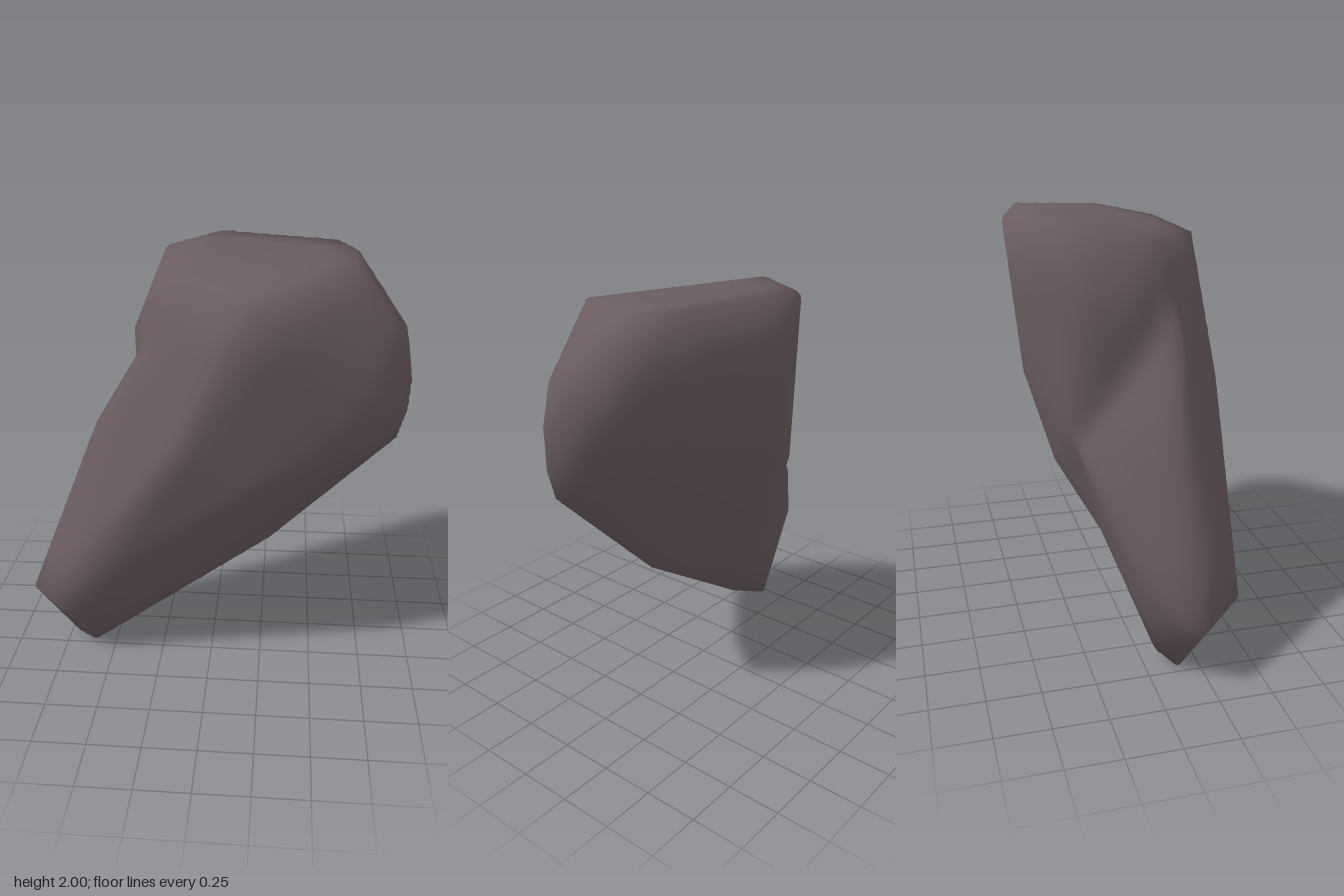
import * as THREE from 'three';
import { ConvexGeometry } from 'three/addons/geometries/ConvexGeometry.js';
import { mergeVertices } from 'three/addons/utils/BufferGeometryUtils.js';

const toVector = ([x, y, z]) => new THREE.Vector3(x, y, z);
const CORE = new THREE.Vector3(0.04, 1, 0.08); // inside both lobes

// Face planes of the convex lobe spanned by some corner points, relative to CORE
function lobePlanes(corners) {
  const p = new ConvexGeometry(corners.map((c) => toVector(c).sub(CORE))).attributes.position;
  const planes = [];
  for (let i = 0; i < p.count; i += 3) {
    const [a, b, c] = [0, 1, 2].map((k) => new THREE.Vector3().fromBufferAttribute(p, i + k));
    planes.push(new THREE.Plane().setFromCoplanarPoints(a, b, c));
  }
  return planes;
}

// Distance from CORE to the lobe surface in a direction
function reach(planes, direction) {
  let nearest = Infinity;
  for (const { normal, constant } of planes) {
    const slope = normal.dot(direction);
    if (slope > 1e-6) nearest = Math.min(nearest, -constant / slope);
  }
  return nearest;
}

// Softens the shading by averaging each normal with those of its neighbours
function softenNormals(geometry, passes) {
  const index = geometry.index.array;
  const normals = geometry.attributes.normal;
  for (let pass = 0; pass < passes; pass++) {
    const old = normals.array.slice();
    const sum = normals.array;
    for (let i = 0; i < index.length; i += 3) {
      for (let k = 0; k < 3; k++) {
        for (let axis = 0; axis < 3; axis++) {
          sum[index[i + k] * 3 + axis] += old[index[i + (k + 1) % 3] * 3 + axis];
        }
      }
    }
    geometry.normalizeNormals();
  }
}

export function createModel() {
  const stone = new THREE.MeshStandardMaterial({ color: 0x6a5b5f });
  stone.name = 'brown grey stone';

  // Front face, right end and underside, common to both lobes
  const shared = [
    [0.2, 1.87, 0.467], [-0.13, 1.22, 0.5], [0.21, 1, 0.42], [0.76, 1.42, 0.29], [0.76, 1.2, 0.25],
    [0.85, 1.68, 0.13], [0.92, 1.45, 0.09], [0.91, 1.3, 0.11], [0.87, 1.16, 0.11],
    [0.28, 0.59, 0.11], [0, 0.43, 0.14], [0, 0.44, -0.02], [-0.23, 0.5, -0.1],
  ];

  // Wide lobe with the sloping top and the back
  const upperLobe = lobePlanes([
    ...shared,
    // top rim
    [-0.24, 1.99, -0.17], [-0.14, 1.95, -0.44], [0, 2, -0.5], [0.57, 1.99, -0.36],
    [0.66, 1.97, -0.23], [0.62, 1.97, 0.08], [0.42, 1.93, 0.33], [-0.24, 1.9, 0.16],
    // right end
    [0.89, 1.67, -0.01], [0.81, 1.5, -0.13],
    // back and left
    [-0.08, 1.3, -0.435], [-0.15, 0.87, -0.31],
    [-0.37, 1.65, -0.2], [-0.37, 1.65, 0.05], [-0.37, 1.5, 0.05], [-0.28, 1.67, 0.2], [-0.37, 1.08, -0.26],
  ]);

  // Leaning lobe that narrows to the foot
  const lowerLobe = lobePlanes([
    ...shared,
    // foot
    [-0.92, 0.3, 0.2], [-0.88, 0.35, 0.11], [-0.75, 0.36, 0.42], [-0.71, 0, 0.15],
    [-0.6, 0.02, 0.25], [-0.64, 0.06, 0.06], [-0.36, 0.21, 0.02],
    // shoulder and left side
    [-0.66, 0.63, -0.08], [-0.55, 0.83, -0.14], [-0.39, 1, -0.24],
    [-0.55, 1.22, 0.17], [-0.42, 1.29, 0.25], [-0.38, 1.48, 0.24], [-0.28, 1.67, 0.2],
  ]);

  // One closed skin pushed out to whichever lobe reaches further
  const ball = new THREE.IcosahedronGeometry(1, 70);
  ball.deleteAttribute('normal');
  ball.deleteAttribute('uv');
  const skin = mergeVertices(ball, 0.0001);
  const position = skin.attributes.position;
  const point = new THREE.Vector3();
  for (let i = 0; i < position.count; i++) {
    point.fromBufferAttribute(position, i).normalize();
    point.multiplyScalar(Math.max(reach(upperLobe, point), reach(lowerLobe, point))).add(CORE);
    position.setXYZ(i, point.x, point.y, point.z);
  }
  skin.computeVertexNormals();
  softenNormals(skin, 60);

  const boulder = new THREE.Mesh(skin, stone);
  boulder.name = 'boulder';
  const group = new THREE.Group();
  group.name = 'rock';
  group.add(boulder);
  return group;
}
